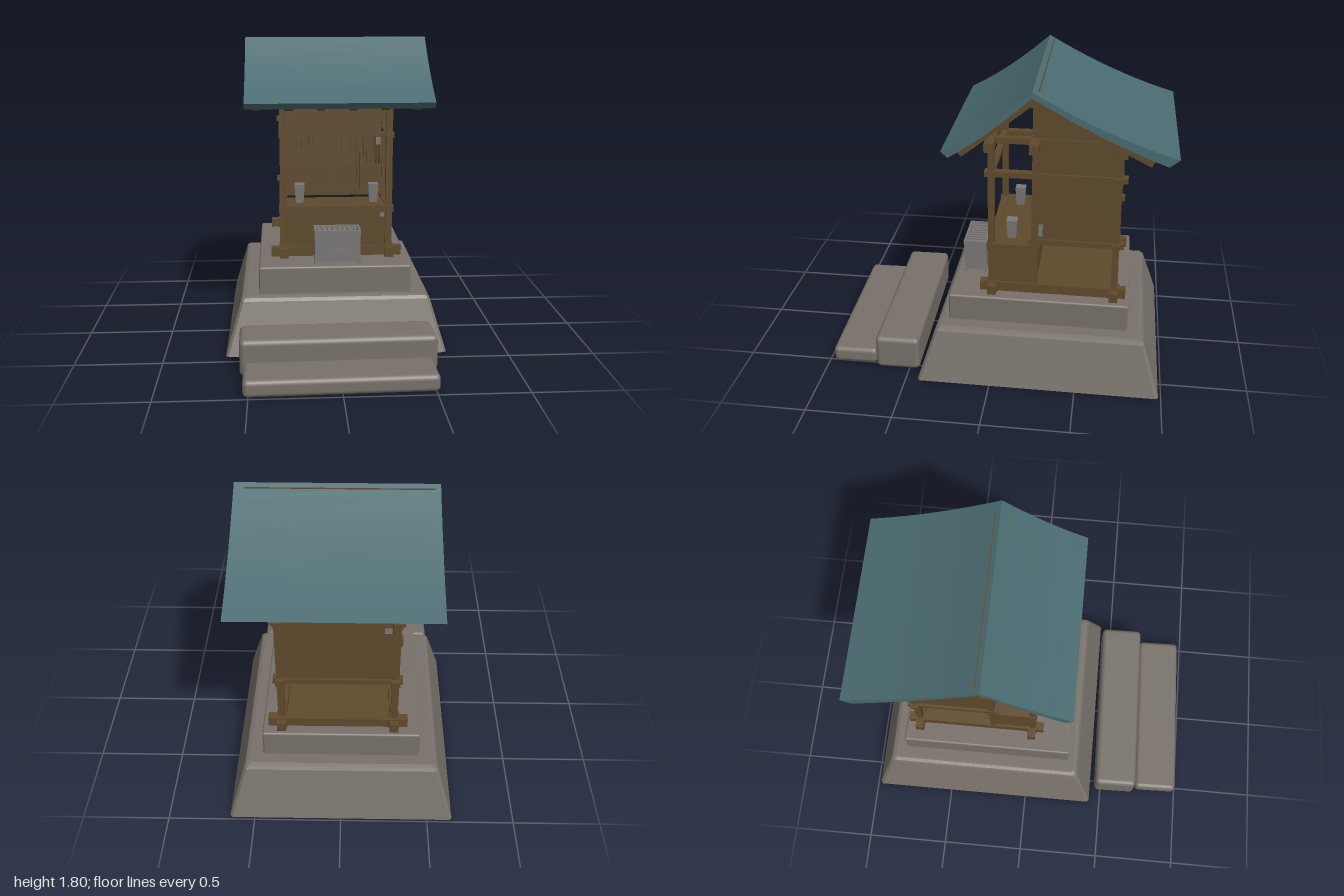
import * as THREE from 'three';
import { toCreasedNormals } from 'three/addons/utils/BufferGeometryUtils.js';
import { RoundedBoxGeometry } from 'three/addons/geometries/RoundedBoxGeometry.js';

const material = (name, color, side = THREE.FrontSide) => {
  const m = new THREE.MeshStandardMaterial({ color, side });
  m.name = name;
  return m;
};

export function createModel() {
  const wood = material('wood', 0x5f4a2c);
  const stone = material('stone', 0x78716a, THREE.DoubleSide);
  const grey = material('greyMetal', 0x7a7876);
  const teal = material('roofTeal', 0x4a6b70);
  const model = new THREE.Group();
  model.name = 'woodenShrine';

  const group = (name) => {
    const g = new THREE.Group();
    g.name = name;
    model.add(g);
    return g;
  };
  const add = (parent, name, geometry, mat) => {
    const mesh = new THREE.Mesh(geometry, mat);
    mesh.name = name;
    parent.add(mesh);
    return mesh;
  };
  // Box given by its limits, optionally with rounded edges
  const box = (parent, name, mat, x0, x1, y0, y1, z0, z1, r = 0) => {
    const size = [x1 - x0, y1 - y0, z1 - z0];
    const g = r ? new RoundedBoxGeometry(...size, 3, r) : new THREE.BoxGeometry(...size);
    const mesh = add(parent, name, g, mat);
    mesh.position.set((x0 + x1) / 2, (y0 + y1) / 2, (z0 + z1) / 2);
    return mesh;
  };
  // Side profile of [z, y] points, extruded along x
  const prism = (parent, name, mat, points, x0, x1) => {
    const shape = new THREE.Shape(points.map(([z, y]) => new THREE.Vector2(-z, y)));
    const g = new THREE.ExtrudeGeometry(shape, { depth: x1 - x0, bevelEnabled: false });
    g.rotateY(Math.PI / 2).translate(x0, 0, 0);
    return add(parent, name, toCreasedNormals(g, 0.5), mat);
  };

  // Hollow sloping plinth: octagonal rings [half width, back z, front z, y, corner cut]
  const base = group('stoneBase');
  const rings = [[0.645, -0.985, 0.43, 0, 0.015], [0.557, -0.888, 0.333, 0.3, 0.015],
    [0.548, -0.876, 0.32, 0.318, 0.015], [0.528, -0.855, 0.3, 0.325, 0.012]];
  const ringPoints = ([w, b, f, y, c]) => [[-w + c, f], [w - c, f], [w, f - c], [w, b + c],
    [w - c, b], [-w + c, b], [-w, b + c], [-w, f - c]].map(([x, z]) => [x, y, z]);
  const loops = rings.map(ringPoints);
  const verts = [];
  for (let i = 0; i < loops.length - 1; i++) {
    for (let k = 0; k < 8; k++) {
      const n = (k + 1) % 8;
      const [a, b, c, d] = [loops[i][k], loops[i][n], loops[i + 1][n], loops[i + 1][k]];
      verts.push(...a, ...b, ...c, ...a, ...c, ...d);
    }
  }
  const top = loops[loops.length - 1];
  for (let k = 1; k < 7; k++) verts.push(...top[0], ...top[k], ...top[k + 1]);
  const plinth = new THREE.BufferGeometry();
  plinth.setAttribute('position', new THREE.Float32BufferAttribute(verts, 3));
  plinth.computeVertexNormals();
  add(base, 'plinth', plinth, stone);
  box(base, 'upperTier', stone, -0.45, 0.45, 0.31, 0.487, -0.787, 0.265, 0.012);

  // Slightly skewed stone steps
  box(base, 'upperStep', stone, -0.557, 0.547, 0, 0.21, 0.447, 0.712, 0.03).rotation.y = 0.019;
  box(base, 'lowerStep', stone, -0.532, 0.518, 0, 0.097, 0.716, 0.984, 0.028).rotation.y = 0.022;

  // Post frame, mirrored about the centre line cx
  const frame = group('timberFrame');
  const cx = 0.02, half = 0.32;
  const columns = [[0.022, 1.46], [-0.228, 1.74], [-0.695, 1.46]];
  for (const s of [-1, 1]) {
    const x = cx + s * half;
    for (const [z, h] of columns) {
      box(frame, 'post', wood, x - 0.02, x + 0.02, 0.487, h, z - 0.018, z + 0.018);
    }
    for (const z of [0.015, -0.695]) {
      box(frame, 'postFoot', wood, x - 0.03, x + 0.03, 0.487, 0.552, z - 0.035, z + 0.035);
    }
    box(frame, 'sideSill', wood, x - 0.025, x + 0.025, 0.487, 0.545, -0.765, 0.09);
    box(frame, 'deckSideBeam', wood, x - 0.024, x + 0.024, 0.762, 0.798, -0.255, 0.05);
    box(frame, 'lowerSideRail', wood, x - 0.025, x + 0.025, 0.81, 0.842, -0.74, -0.19);
    box(frame, 'middleSideRail', wood, x - 0.025, x + 0.025, 1.22, 1.252, -0.742, 0.06);
    box(frame, 'upperSideRail', wood, x - 0.022, x + 0.022, 1.424, 1.458, -0.74, 0.04);
  }
  const crossBeams = [
    ['sill', 0.015, 0.487, 0.543, 0.398, 0.05], ['sill', -0.695, 0.487, 0.543, 0.398, 0.05],
    ['deckFrontBeam', 0.022, 0.757, 0.8, 0.348, 0.045],
    ['lowerBackRail', -0.695, 0.81, 0.842, 0.36, 0.045],
    ['doorSill', -0.228, 0.812, 0.845, 0.32, 0.045],
    ['frontRail', 0.022, 1.22, 1.252, 0.345, 0.036],
    ['lintel', -0.228, 1.22, 1.252, 0.345, 0.05],
    ['middleBackRail', -0.695, 1.22, 1.252, 0.36, 0.045],
  ];
  for (const [name, z, y0, y1, w, d] of crossBeams) {
    box(frame, name, wood, cx - w, cx + w, y0, y1, z - d / 2, z + d / 2);
  }
  box(frame, 'groundFloor', wood, cx - half, cx + half, 0.487, 0.503, -0.695, 0.01);

  // Raised front deck
  const deck = group('frontDeck');
  box(deck, 'deckBoards', wood, cx - 0.31, cx + 0.31, 0.77, 0.793, -0.23, 0.02);
  box(deck, 'frontPanel', wood, cx - 0.3, cx + 0.3, 0.5, 0.76, 0.005, 0.02);
  box(deck, 'backPanel', wood, cx - 0.3, cx + 0.3, 0.5, 0.76, -0.235, -0.22);
  for (const s of [-1, 1]) {
    const x = cx + s * half;
    box(deck, 'sidePanel', wood, x - 0.01, x + 0.01, 0.54, 0.765, -0.22, 0.01);
  }

  // Closed chamber with gabled side walls
  const room = group('chamber');
  for (const s of [-1, 1]) {
    const x = cx + s * half;
    prism(room, 'sideWall', wood, [[-0.228, 0.82], [-0.228, 1.725], [-0.7, 1.475], [-0.7, 0.82]], x - 0.01, x + 0.01);
  }
  box(room, 'chamberFloor', wood, cx - 0.31, cx + 0.31, 0.815, 0.835, -0.69, -0.22);
  box(room, 'backWall', wood, cx - 0.31, cx + 0.31, 0.83, 1.46, -0.705, -0.69);
  box(room, 'upperFrontWall', wood, cx - 0.31, cx + 0.31, 1.24, 1.72, -0.235, -0.221);

  // Front wall: slatted bays beside two lattice doors
  const front = group('chamberFront');
  for (const s of [-1, 1]) {
    const bay = cx + s * 0.235;
    box(front, 'bayPanel', wood, bay - 0.07, bay + 0.07, 0.84, 1.0, -0.238, -0.224);
    box(front, 'bayRail', wood, bay - 0.07, bay + 0.07, 0.99, 1.005, -0.24, -0.215);
    for (let i = 0; i < 7; i++) {
      const x = bay - 0.06 + i * 0.02;
      box(front, 'baySlat', wood, x - 0.006, x + 0.006, 1.0, 1.225, -0.236, -0.222);
    }
    box(front, 'doorJamb', wood, cx + s * 0.168 - 0.007, cx + s * 0.168 + 0.007, 0.84, 1.225, -0.245, -0.212);
    const door = cx + s * 0.081;
    for (const t of [-1, 1]) {
      const x = door + t * 0.07;
      box(front, 'doorStile', wood, x - 0.009, x + 0.009, 0.845, 1.215, -0.238, -0.218);
    }
    for (const y of [0.855, 0.99, 1.208]) {
      box(front, 'doorRail', wood, door - 0.07, door + 0.07, y - 0.01, y + 0.01, -0.237, -0.219);
    }
    box(front, 'doorPanel', wood, door - 0.07, door + 0.07, 0.85, 0.99, -0.234, -0.226);
    box(front, 'doorPanelBar', wood, door - 0.003, door + 0.003, 0.86, 0.98, -0.23, -0.22);
    for (let i = 0; i < 6; i++) {
      const x = door - 0.05 + i * 0.02;
      box(front, 'latticeUpright', wood, x - 0.004, x + 0.004, 1.0, 1.2, -0.233, -0.225);
    }
    for (let i = 0; i < 9; i++) {
      const y = 1.018 + i * 0.021;
      box(front, 'latticeBar', wood, door - 0.065, door + 0.065, y - 0.004, y + 0.004, -0.232, -0.224);
    }
  }

  // Purlins and rafters
  const roof = group('roof');
  for (const [z, y0, y1] of [[0.018, 1.413, 1.465], [-0.228, 1.413, 1.465], [-0.705, 1.413, 1.462], [-0.228, 1.68, 1.735]]) {
    box(roof, 'purlin', wood, -0.44, 0.48, y0, y1, z - 0.026, z + 0.026);
  }
  const ridge = -0.225;
  const rafter = [[ridge, 1.742], [0.192, 1.434], [0.16, 1.398], [ridge, 1.706], [-0.855, 1.392], [-0.872, 1.423]];
  for (let i = 0; i < 6; i++) {
    const x = -0.455 + i * 0.189;
    prism(roof, 'rafter', wood, rafter, x - 0.024, x + 0.024);
  }
  prism(roof, 'roofBoards', wood, [[ridge, 1.756], [0.205, 1.436], [0.2, 1.428], [ridge, 1.744],
    [-0.9, 1.427], [-0.905, 1.436]], -0.49, 0.52);

  // Concave two-slope roof covering
  const slope = (y0, z1, y1, sag) => new THREE.QuadraticBezierCurve(
    new THREE.Vector2(ridge, y0),
    new THREE.Vector2((ridge + z1) / 2, (y0 + y1) / 2 - 2 * sag),
    new THREE.Vector2(z1, y1)).getPoints(10).map((p) => [p.x, p.y]);
  const covering = [
    ...slope(1.8, 0.26, 1.452, 0.024), ...slope(1.768, 0.222, 1.415, 0.018).reverse(),
    ...slope(1.768, -0.942, 1.425, 0.02).slice(1), ...slope(1.8, -0.997, 1.468, 0.028).reverse().slice(0, -1),
  ];
  prism(roof, 'roofCovering', teal, covering, -0.52, 0.58);
  box(roof, 'ridgeBatten', wood, -0.49, 0.52, 1.77, 1.786, -0.258, -0.252);

  // Offering chest with slatted top
  const chest = group('offeringChest');
  box(chest, 'chestBody', grey, -0.118, 0.153, 0.5, 0.66, 0.083, 0.217);
  for (const z of [0.08, 0.207]) box(chest, 'chestRim', grey, -0.12, 0.155, 0.65, 0.692, z, z + 0.013);
  for (const x of [-0.12, 0.142]) {
    box(chest, 'chestRimEnd', grey, x, x + 0.013, 0.65, 0.692, 0.08, 0.22);
    for (const z of [0.08, 0.2]) box(chest, 'chestFoot', grey, x - 0.002, x + 0.018, 0.487, 0.505, z, z + 0.02);
  }
  for (let i = 0; i < 8; i++) {
    const x = -0.09 + i * 0.0305;
    box(chest, 'chestSlat', grey, x - 0.007, x + 0.007, 0.668, 0.684, 0.09, 0.21);
  }
  box(chest, 'chestDrawer', grey, -0.04, 0.068, 0.525, 0.575, 0.215, 0.222);

  // Pair of square tapered vases
  for (const x of [-0.2, 0.255]) {
    const vase = new THREE.CylinderGeometry(0.044, 0.034, 0.115, 4);
    vase.rotateY(Math.PI / 4);
    add(model, 'vase', toCreasedNormals(vase, 0.5), grey).position.set(x, 0.855, -0.088);
  }

  // Small pale patches on the walls
  const patches = group('wallPatches');
  box(patches, 'sidePatch', grey, 0.349, 0.354, 0.86, 0.935, -0.275, -0.25);
  box(patches, 'backPatch', grey, -0.27, -0.23, 1.165, 1.2, -0.709, -0.704);
  box(patches, 'bayPatch', grey, 0.285, 0.315, 1.13, 1.195, -0.223, -0.219);
  box(patches, 'deckPatch', grey, 0.288, 0.315, 0.725, 0.752, 0.019, 0.024);

  return model;
}
